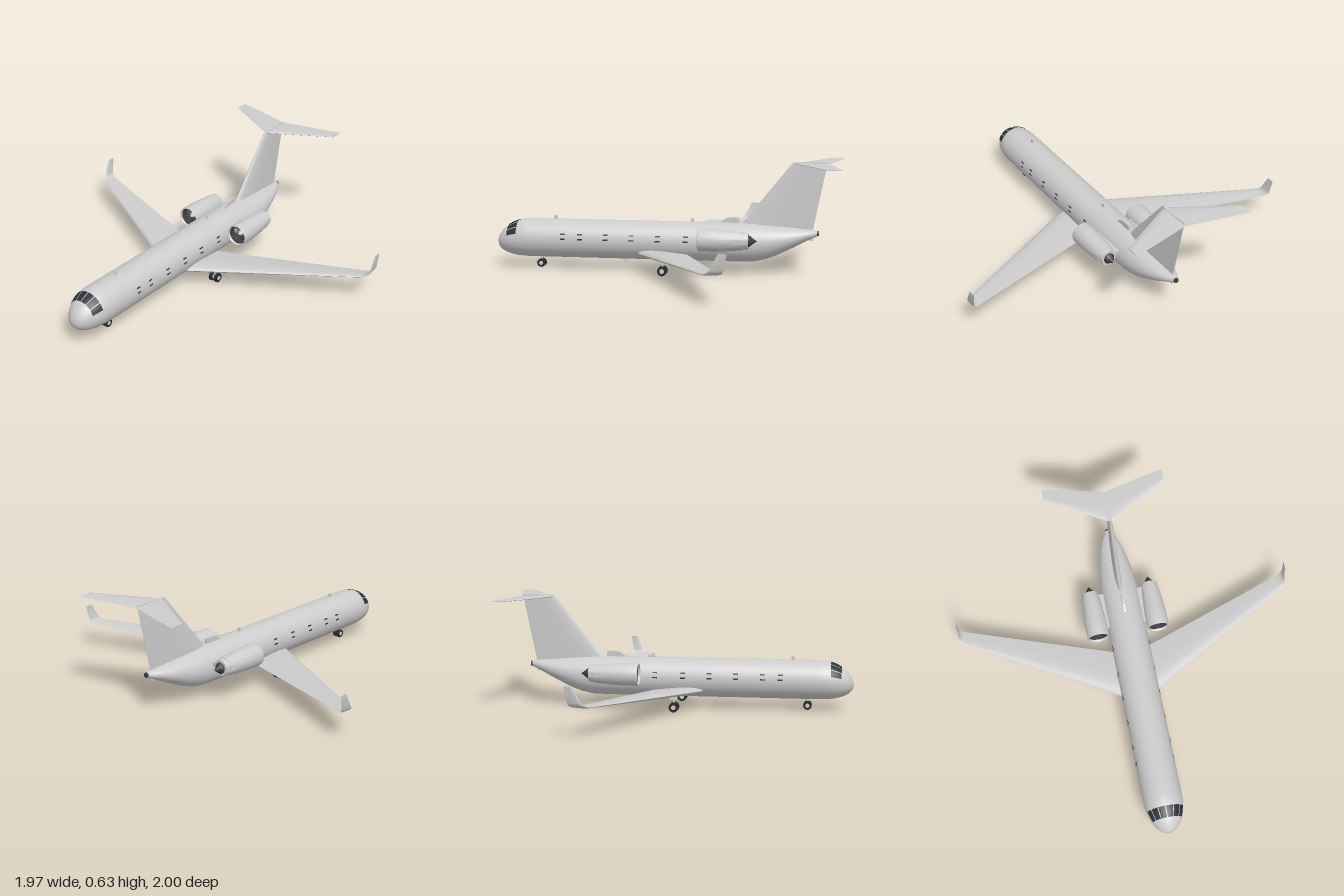
import * as THREE from 'three';
import { toCreasedNormals } from 'three/addons/utils/BufferGeometryUtils.js';

const mat = (name, color, side = THREE.FrontSide) => {
  const m = new THREE.MeshStandardMaterial({ color, side });
  m.name = name;
  return m;
};

// Fuselage cross-section at z: centre height, half height, half width
const CY = 0.172, R = 0.111;
const tail = [ // z, bottom, top, half width
  [-0.42, 0.061, 0.283, 0.111], [-0.5, 0.064, 0.28, 0.109], [-0.56, 0.077, 0.276, 0.104],
  [-0.62, 0.099, 0.271, 0.096], [-0.68, 0.128, 0.266, 0.085], [-0.74, 0.158, 0.26, 0.07],
  [-0.8, 0.19, 0.254, 0.047], [-0.855, 0.215, 0.248, 0.017],
];
function section(z) {
  if (z > 0.8) {
    const u = Math.min(1, (z - 0.8) / 0.198), s = Math.sqrt(1 - u * u);
    return { cy: CY - 0.025 * u * u, ry: R * s, rx: R * s };
  }
  if (z >= tail[0][0]) return { cy: CY, ry: R, rx: R };
  let i = 0;
  while (i < tail.length - 2 && z < tail[i + 1][0]) i++;
  const a = tail[i], b = tail[i + 1], t = (z - a[0]) / (b[0] - a[0]);
  const [bot, top, rx] = [1, 2, 3].map((k) => a[k] + (b[k] - a[k]) * t);
  return { cy: (bot + top) / 2, ry: (top - bot) / 2, rx };
}
// Point on the skin; angle runs from the top towards +x
function skin(z, angle, lift = 0) {
  const s = section(z);
  return [(s.rx + lift) * Math.sin(angle), s.cy + (s.ry + lift) * Math.cos(angle), z];
}

// Closed solid through rings of points, turned outward whatever the ring order
function loft(rings, crease) {
  const n = rings[0].length, pos = rings.flat(), idx = [];
  for (let i = 0; i < rings.length - 1; i++) {
    for (let j = 0; j < n; j++) {
      const a = i * n + j, b = i * n + (j + 1) % n;
      idx.push(a, b, a + n, b, b + n, a + n);
    }
  }
  const last = (rings.length - 1) * n;
  for (let j = 1; j < n - 1; j++) idx.push(0, j + 1, j, last, last + j, last + j + 1);
  let volume = 0;
  const v = (k) => new THREE.Vector3(...pos[k]);
  for (let k = 0; k < idx.length; k += 3) volume += v(idx[k]).dot(v(idx[k + 1]).cross(v(idx[k + 2])));
  if (volume < 0) idx.reverse();
  const g = new THREE.BufferGeometry();
  g.setAttribute('position', new THREE.Float32BufferAttribute(pos.flat(), 3));
  g.setIndex(idx);
  return toCreasedNormals(g, crease);
}

// Aerofoil surface; stations are [x, y, normalX, normalY, leading z, trailing z, thickness]
const foil = [[0, 0], [0.02, 0.2], [0.08, 0.37], [0.25, 0.5], [0.5, 0.42], [0.78, 0.2], [1, 0.02],
  [1, -0.02], [0.78, -0.2], [0.5, -0.42], [0.25, -0.5], [0.08, -0.37], [0.02, -0.2]];
const aerofoil = (stations, side = 1) => loft(stations.map(([x, y, nx, ny, le, te, t]) =>
  foil.map(([c, h]) => [side * (x + nx * h * t), y + ny * h * t, le + (te - le) * c])), 0.7);

// Thin curved panel lying on the fuselage
function panel(z0, z1, a0, a1, n = 5) {
  const pos = [], idx = [];
  for (let i = 0; i <= n; i++) {
    for (let j = 0; j <= n; j++) pos.push(...skin(z0 + (z1 - z0) * i / n, a0 + (a1 - a0) * j / n, 0.0025));
  }
  for (let i = 0; i < n; i++) {
    for (let j = 0; j < n; j++) {
      const a = i * (n + 1) + j, b = a + n + 1;
      idx.push(a, b, a + 1, b, b + 1, a + 1);
    }
  }
  const g = new THREE.BufferGeometry();
  g.setAttribute('position', new THREE.Float32BufferAttribute(pos, 3));
  g.setIndex(idx);
  g.computeVertexNormals();
  return g;
}

// Turned shape about the z axis, points are [radius, z] from back to front
const turned = (pts) => toCreasedNormals(
  new THREE.LatheGeometry(pts.map(([r, z]) => new THREE.Vector2(r, z)), 36).rotateX(Math.PI / 2), 0.6);

// Thin upright plate in the centre plane, outline points are [z, y]
function blade(points, width) {
  const shape = new THREE.Shape(points.map(([z, y]) => new THREE.Vector2(-z, y)));
  return new THREE.ExtrudeGeometry(shape, { depth: width, bevelEnabled: false })
    .translate(0, 0, -width / 2).rotateY(Math.PI / 2);
}

export function createModel() {
  const model = new THREE.Group();
  model.name = 'airliner';
  const body = mat('body grey', 0xcccccc);
  const glass = mat('dark glass', 0x2b3238, THREE.DoubleSide);
  const tyre = mat('tyre black', 0x2a2a2a);
  const dark = mat('dark metal', 0x3c3e40);
  const metal = mat('fan metal', 0x6c6e70, THREE.DoubleSide);
  const add = (name, geo, material, parent = model) => {
    const m = new THREE.Mesh(geo, material);
    m.name = name;
    parent.add(m);
    return m;
  };
  const box = (w, h, d, x, y, z) => new THREE.BoxGeometry(w, h, d).translate(x, y, z);

  // Fuselage
  const zs = [];
  for (let i = 0; i <= 14; i++) zs.push(0.8 + 0.198 * Math.cos(0.03 + (Math.PI / 2 - 0.03) * i / 14));
  for (let z = 0.6; z > -0.4; z -= 0.2) zs.push(z);
  for (let i = 0; i <= 28; i++) zs.push(-0.42 - 0.435 * i / 28);
  add('fuselage', loft(zs.map((z) => Array.from({ length: 40 }, (_, j) => skin(z, j / 40 * Math.PI * 2))), 0.9), body);
  add('tailExhaust', new THREE.CylinderGeometry(0.014, 0.014, 0.014, 16).rotateX(Math.PI / 2)
    .translate(0, 0.231, -0.857), dark);

  // Cockpit panes and cabin windows
  for (let i = 0; i < 6; i++) {
    const a = -1.26 + i * 0.42;
    add('cockpitPane', panel(0.87, 0.93, a + 0.025, a + 0.395), glass);
  }
  for (const s of [-1, 1]) {
    for (const z of [0.59, 0.49, 0.34, 0.19, 0.04, -0.12]) {
      for (const a of [1.24, 1.49]) {
        add('cabinWindow', panel(z - 0.014, z + 0.014, s * a - 0.035, s * a + 0.035, 2), glass);
      }
    }
  }

  // Fin, antennas and dorsal intake
  add('fin', aerofoil([[0, 0.2, 1, 0, -0.365, -0.82, 0.042], [0, 0.632, 1, 0, -0.715, -0.907, 0.018]]), body);
  add('dorsalIntake', blade([[-0.29, 0.275], [-0.34, 0.308], [-0.365, 0.313], [-0.415, 0.313], [-0.415, 0.275]], 0.012), body);
  for (const z of [0.67, -0.13]) {
    add('topAntenna', blade([[z, 0.278], [z - 0.012, 0.305], [z - 0.025, 0.305], [z - 0.025, 0.278]], 0.008), body);
  }
  add('bellyAntenna', blade([[0.26, 0.066], [0.245, 0.035], [0.232, 0.035], [0.232, 0.066]], 0.008), body);
  add('tailSkid', blade([[-0.8, 0.21], [-0.815, 0.188], [-0.828, 0.188], [-0.828, 0.215]], 0.008), body);

  for (const s of [1, -1]) {
    const tag = s > 0 ? 'left' : 'right';

    // Wing with curved winglet, and tailplane
    add(tag + 'Wing', aerofoil([
      [0.05, 0.104, 0, 1, 0.178, -0.115, 0.042],
      [0.93, 0.157, 0, 1, -0.31, -0.403, 0.011],
      [0.957, 0.161, -0.35, 0.94, -0.326, -0.413, 0.01],
      [0.973, 0.171, -0.75, 0.66, -0.343, -0.424, 0.009],
      [0.98, 0.187, -0.98, 0.2, -0.358, -0.43, 0.008],
      [0.984, 0.27, -1, 0, -0.402, -0.446, 0.006],
    ], s), body);
    add(tag + 'Tailplane', aerofoil([
      [0, 0.623, 0, 1, -0.725, -0.918, 0.014], [0.352, 0.625, 0, 1, -0.92, -1, 0.006]], s), body);

    // Engine: nacelle, intake, fan and nozzle
    const engine = new THREE.Group();
    engine.name = tag + 'Engine';
    engine.position.set(s * 0.178, 0.207, 0);
    model.add(engine);
    add('nacelle', turned([[0.04, -0.452], [0.051, -0.452], [0.059, -0.37], [0.064, -0.29], [0.064, -0.215],
      [0.062, -0.203], [0.059, -0.2], [0.056, -0.203], [0.054, -0.212]]), body, engine);
    add('intakeDuct', turned([[0, -0.255], [0.053, -0.255]].reverse().concat([]).reverse()), dark, engine);
    add('intakeWall', turned([[0.054, -0.212], [0.053, -0.255], [0, -0.2551]]), dark, engine);
    for (let i = 0; i < 16; i++) {
      const g = new THREE.PlaneGeometry(0.006, 0.038).rotateY(0.5).translate(0, 0.032, -0.248);
      add('fanBlade', g.rotateZ(i / 16 * Math.PI * 2), metal, engine);
    }
    add('spinner', turned([[0.016, -0.254], [0.013, -0.238], [0.006, -0.226], [0, -0.223]]), body, engine);
    add('nozzle', turned([[0.03, -0.482], [0.045, -0.482], [0.049, -0.445]]), body, engine);
    add('exhaustCone', turned([[0, -0.53], [0.012, -0.512], [0.031, -0.488], [0.031, -0.47]]), dark, engine);
    add(tag + 'Pylon', box(0.07, 0.022, 0.215, s * 0.11, 0.205, -0.358), body);

    // Main gear leg and door
    add(tag + 'GearLeg', new THREE.CylinderGeometry(0.007, 0.007, 0.085, 12).translate(s * 0.178, 0.068, 0), body);
    add(tag + 'GearDoor', box(0.004, 0.034, 0.042, s * 0.21, 0.09, 0), body);
  }
  add('noseGearLeg', new THREE.CylinderGeometry(0.006, 0.006, 0.06, 12).translate(0, 0.05, 0.74), body);

  // Twin wheels on an axle
  for (const [name, x, z, r, gap] of [['nose', 0, 0.74, 0.024, 0.012],
    ['leftMain', 0.178, 0, 0.027, 0.018], ['rightMain', -0.178, 0, 0.027, 0.018]]) {
    const rod = (rad, len, dx) => new THREE.CylinderGeometry(rad, rad, len, 24)
      .rotateZ(Math.PI / 2).translate(x + dx, r, z);
    add(name + 'Axle', rod(0.005, gap * 2, 0), metal);
    for (const s of [-1, 1]) {
      add(name + 'Tyre', rod(r, 0.016, s * gap), tyre);
      add(name + 'Hub', rod(r * 0.5, 0.019, s * gap), body);
    }
  }
  return model;
}
